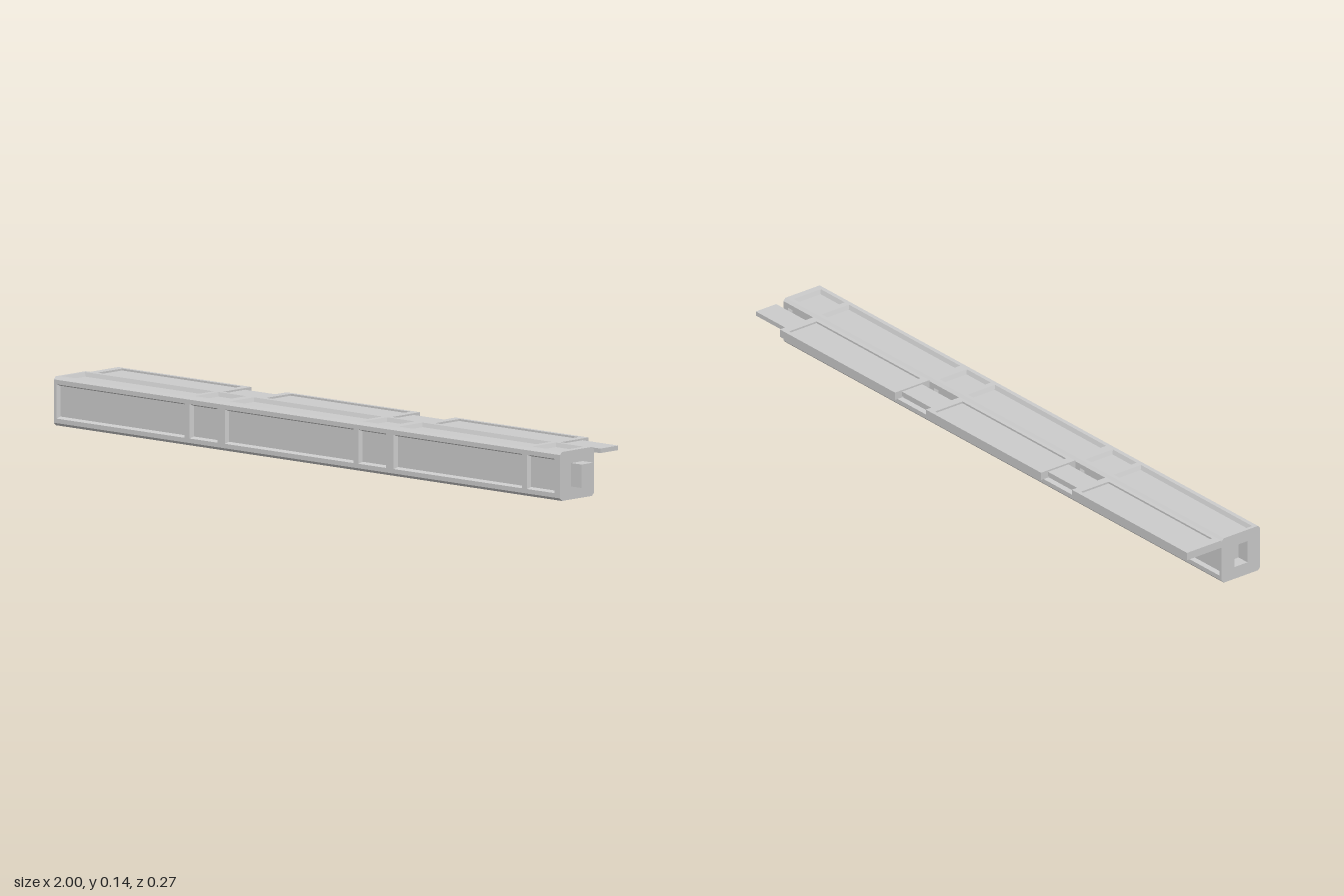
import * as THREE from 'three';

const material = new THREE.MeshStandardMaterial({ color: 0xcccccc, flatShading: true });

function add(parent, name, geometry, x = 0, y = 0, z = 0) {
  const mesh = new THREE.Mesh(geometry, material);
  mesh.name = name;
  mesh.position.set(x, y, z);
  parent.add(mesh);
  return mesh;
}

const polygon = (points) => new THREE.Shape(points.map(([x, y]) => new THREE.Vector2(x, y)));
const rect = (x0, x1, y0, y1) => polygon([[x0, y0], [x1, y0], [x1, y1], [x0, y1]]);

// Extrude a cross-section along x, from x0 to x1
function alongX(shape, x0, x1) {
  const geometry = new THREE.ExtrudeGeometry(shape, { depth: x1 - x0, bevelEnabled: false });
  return geometry.rotateY(Math.PI / 2).translate(x0, 0, 0);
}

const X0 = -1, X1 = 0.96;       // beam ends
const HALF = 0.07, CUT = 0.008; // half thickness and corner chamfer
const CORE = 0.058;             // half thickness at the recessed panels
const EDGE = 0.05;              // inner edge of the corner rails
const PLATE = 0.008;            // end plate thickness
const PITCH = 0.653;            // length of one repeated bay
const SOCKET = [-0.024, 0.024, -0.033, 0.034];

function octagon() {
  const a = HALF, b = HALF - CUT;
  return polygon([[a, -b], [a, b], [b, a], [-b, a], [-a, b], [-a, -b], [-b, -a], [b, -a]]);
}

// One side of the beam: sloping-edged long and square recesses in three bays
function sideFrame() {
  const shape = rect(X0 + PLATE, X1 - PLATE, -EDGE, EDGE);
  for (let i = 0; i < 3; i++) {
    const x = X0 + i * PITCH;
    shape.holes.push(rect(x + 0.01, x + 0.507, -0.049, 0.049));
    shape.holes.push(rect(x + 0.526, x + 0.633, -0.049, 0.049));
  }
  const rise = HALF - CORE;
  const geometry = new THREE.ExtrudeGeometry(shape, {
    depth: 0.001, bevelThickness: rise, bevelSize: 0.005, bevelSegments: 1,
  });
  return geometry.translate(0, 0, CORE - 0.001);
}

function createBeam() {
  const beam = new THREE.Group();
  beam.name = 'beam';
  beam.position.set(0, 0.07, 0.064);

  // Core with a socket at one end and a peg at the other
  const ring = rect(-CORE, CORE, -CORE, CORE);
  ring.holes.push(rect(...SOCKET));
  add(beam, 'socketBlock', alongX(ring, X0 + PLATE, X0 + 0.04));
  add(beam, 'core', alongX(rect(-CORE, CORE, -CORE, CORE), X0 + 0.04, X1 - PLATE));
  const socketPlate = octagon();
  socketPlate.holes.push(rect(...SOCKET));
  add(beam, 'socketPlate', alongX(socketPlate, X0, X0 + PLATE));
  add(beam, 'pegPlate', alongX(octagon(), X1 - PLATE, X1));
  add(beam, 'peg', alongX(rect(...SOCKET), X1 - 0.005, 1));

  // Chamfered corner rails and panelled sides
  const b = HALF - CUT;
  const railShape = polygon([[EDGE, EDGE], [HALF, EDGE], [HALF, b], [b, HALF], [EDGE, HALF]]);
  const rail = alongX(railShape, X0 + PLATE, X1 - PLATE);
  const frame = sideFrame();
  for (let i = 0; i < 4; i++) {
    add(beam, 'cornerRail', rail).rotation.x = i * Math.PI / 2;
    add(beam, 'sideFrame', frame).rotation.x = i * Math.PI / 2;
  }
  return beam;
}

// Thin panelled boards along the back, joined by narrow tongues
function createBoards() {
  const boards = new THREE.Group();
  boards.name = 'backBoards';
  const length = 0.515, width = 0.125, z = -0.0695, y = 0.1245;
  const frameShape = rect(-length / 2, length / 2, -width / 2, width / 2);
  frameShape.holes.push(rect(-length / 2 + 0.026, length / 2 - 0.026, -0.05, 0.05));
  const frame = new THREE.ExtrudeGeometry(frameShape, { depth: 0.023, bevelEnabled: false });
  frame.translate(0, 0, -0.0115).rotateX(Math.PI / 2);
  const panel = new THREE.BoxGeometry(length - 0.05, 0.012, 0.102);
  const tongue = new THREE.BoxGeometry(0.141, 0.013, 0.074);
  for (let i = 0; i < 3; i++) {
    const x = X0 + i * PITCH;
    add(boards, 'boardFrame', frame, x + length / 2, y, z);
    add(boards, 'boardPanel', panel, x + length / 2, y, z);
    add(boards, 'tongue', tongue, x + length + 0.068, y, z);
  }
  return boards;
}

export function createModel() {
  const model = new THREE.Group();
  model.name = 'panelledBeam';
  model.add(createBeam(), createBoards());
  return model;
}
